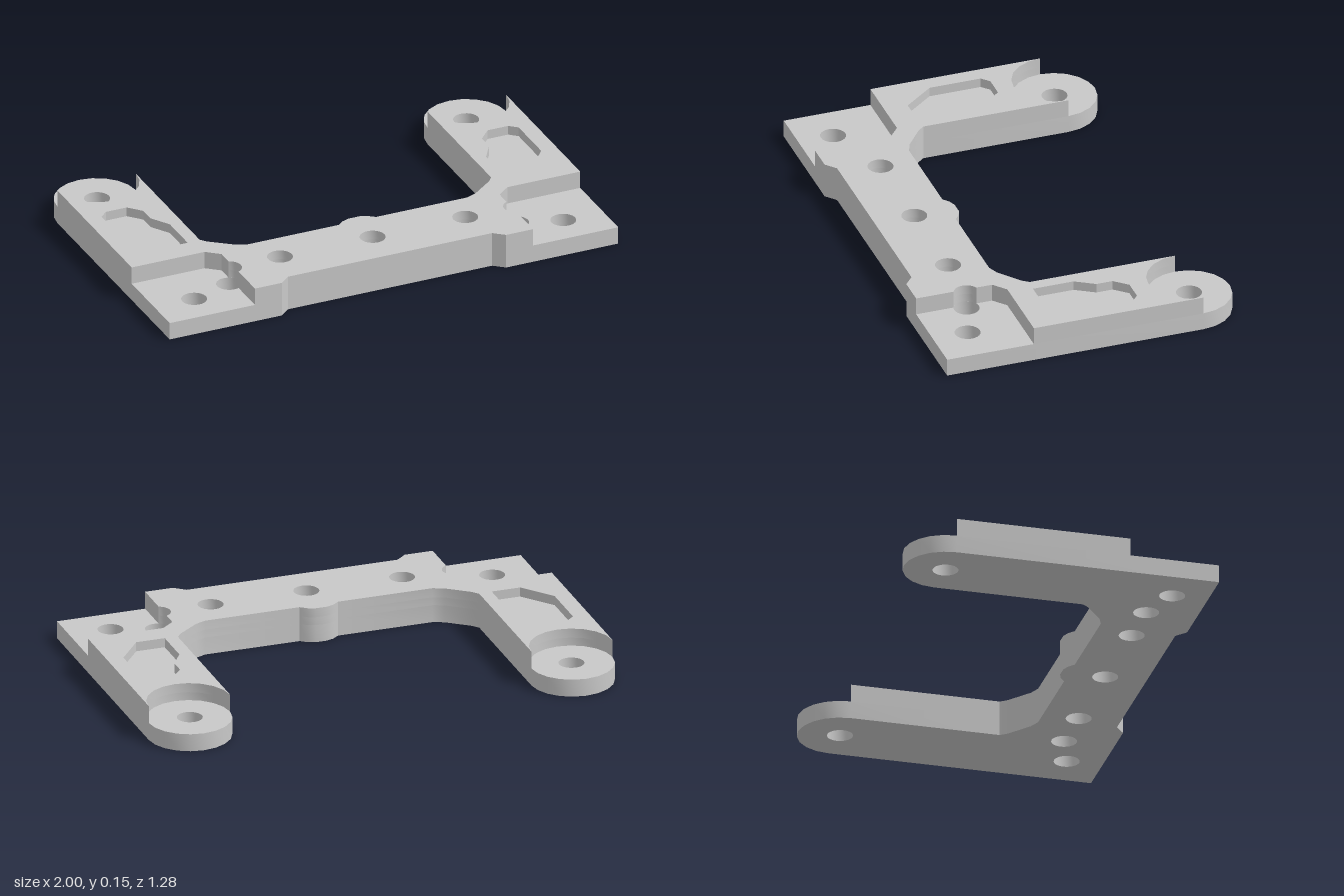
import * as THREE from 'three';
import { toCreasedNormals } from 'three/addons/utils/BufferGeometryUtils.js';

const STEP = 0.075, POCKET_FLOOR = 0.11, TOP = 0.15;
const HOLE_R = 0.053;
const END = [0.823, -0.465], END_R = 0.175;

// points along an arc in the (x, z) plane
function arc([cx, cz], r, from, to, n) {
  return Array.from({ length: n + 1 }, (_, i) => {
    const a = from + (to - from) * i / n;
    return [cx + r * Math.cos(a), cz + r * Math.sin(a)];
  });
}

const mirror = pts => pts.map(([x, z]) => [-x, z]).reverse();
const toVectors = pts => pts.map(([x, z]) => new THREE.Vector2(x, z));

// closed outline from its +x half
const symmetricShape = half => new THREE.Shape(toVectors([...half, ...mirror(half)]));

function addHoles(shape, centres) {
  for (const c of centres) {
    shape.holes.push(new THREE.Path(toVectors(arc(c, HOLE_R, 0, Math.PI * 2, 24).slice(0, -1))));
  }
}

// flat layer between two heights
function layer(name, shape, bottom, top, material) {
  const g = new THREE.ExtrudeGeometry(shape, { depth: top - bottom, bevelEnabled: false });
  g.rotateX(Math.PI / 2);
  g.translate(0, top, 0);
  const mesh = new THREE.Mesh(toCreasedNormals(g, 0.5), material);
  mesh.name = name;
  return mesh;
}

export function createModel() {
  const grey = new THREE.MeshStandardMaterial({ color: 0xc8c8c8 });
  grey.name = 'light grey';

  // inner edge: centre bump, crossbar, chamfered corner
  const inner = [
    [0.025, 0.245], [0.055, 0.256], [0.083, 0.278], [0.49, 0.278],
    [0.535, 0.26], [0.628, 0.188], [0.65, 0.16],
  ];
  // front edge with a shallow recess
  const front = [[0.5, 0.638], [0.455, 0.6]];

  // lower plate: full outline with rounded arm ends
  const baseShape = symmetricShape([
    ...inner, ...arc([0.825, -0.465], END_R, Math.PI, Math.PI * 2, 10), [1, 0.638], ...front,
  ]);
  const barHoles = [[-0.413, 0.428], [0, 0.428], [0.413, 0.428]];
  const sideHoles = [END, [0.823, 0.488], [0.64, 0.428]];
  addHoles(baseShape, [...barHoles, ...sideHoles, ...mirror(sideHoles)]);

  // upper plate: scooped arm ends and stepped front corners
  const notch = Math.acos(0.02 / HOLE_R);
  const upperHalf = [
    ...inner, ...arc([0.825, -0.465], END_R, Math.PI, 0, 10),
    [1, 0.265], [0.675, 0.265], [0.62, 0.311],
    ...arc([0.64, 0.428], HOLE_R, Math.PI + notch, Math.PI - notch, 10),
    [0.62, 0.638], ...front,
  ];
  const middleShape = symmetricShape(upperHalf);
  addHoles(middleShape, barHoles);

  // top skin: same outline, with a recess in each arm
  const topShape = symmetricShape(upperHalf);
  addHoles(topShape, barHoles);
  const recess = [
    [0.93, -0.185], [0.897, -0.215], [0.805, -0.215], [0.755, -0.16], [0.755, -0.09],
    [0.705, -0.01], [0.705, 0.165], [0.828, 0.165], [0.93, 0.035],
  ];
  for (const pts of [recess, mirror(recess)]) topShape.holes.push(new THREE.Path(toVectors(pts)));

  const model = new THREE.Group();
  model.name = 'mountingBracket';
  model.add(
    layer('basePlate', baseShape, 0, STEP, grey),
    layer('raisedPlate', middleShape, STEP, POCKET_FLOOR, grey),
    layer('recessedTop', topShape, POCKET_FLOOR, TOP, grey),
  );
  return model;
}
